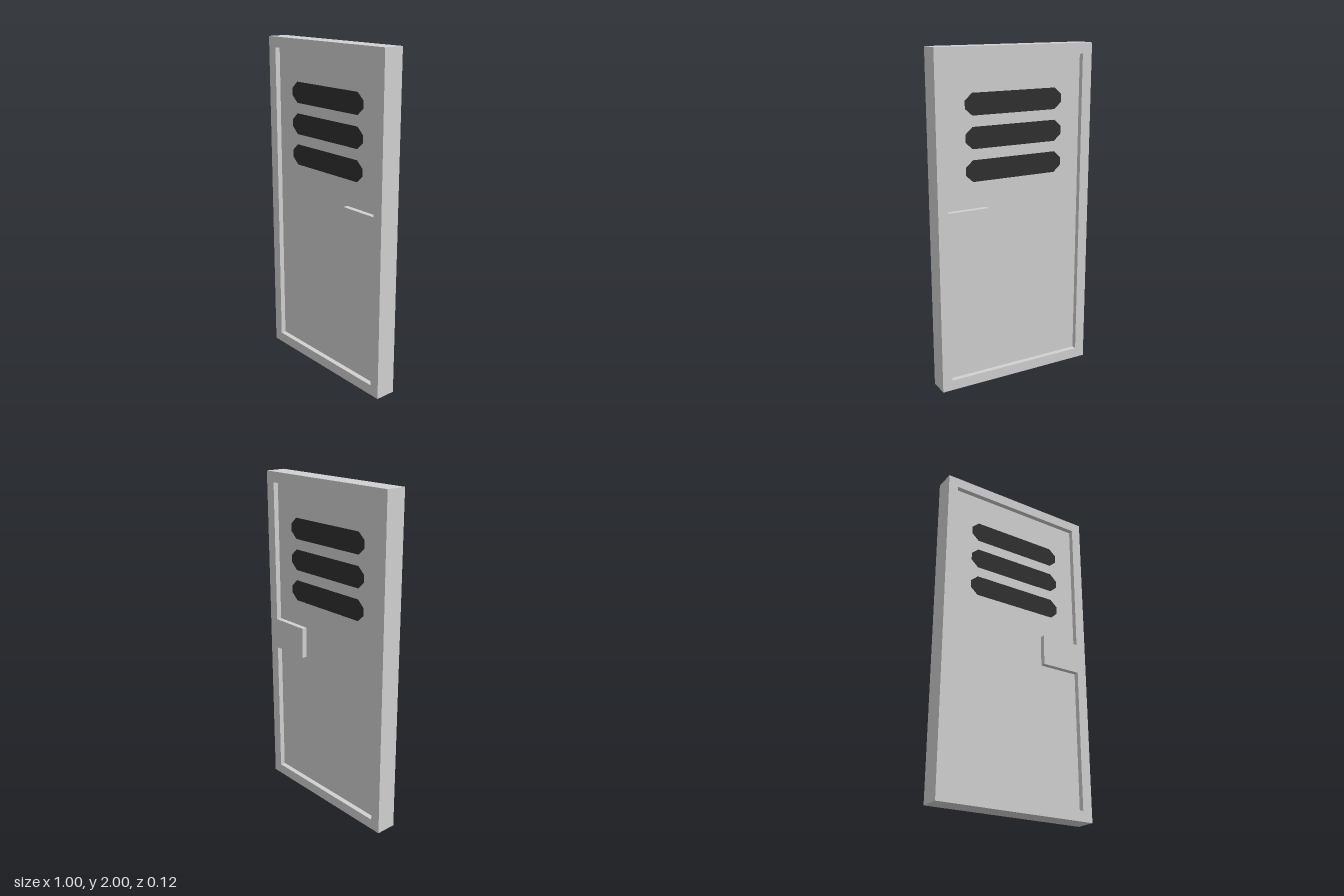
import * as THREE from 'three';

const W = 1, H = 2, DEPTH = 0.125, RIM = 0.0625, PANEL_DEPTH = 0.0625;

const polygon = (Type, points) => new Type(points.map(([x, y]) => new THREE.Vector2(x, y)));

export function createModel() {
  const doorGrey = new THREE.MeshStandardMaterial({ color: 0xd1d1d1 });
  doorGrey.name = 'doorGrey';
  const slotDark = new THREE.MeshStandardMaterial({ color: 0x303030 });
  slotDark.name = 'slotDark';

  const door = new THREE.Group();
  door.name = 'door';
  const add = (name, geometry, material, parent = door) => {
    const mesh = new THREE.Mesh(geometry, material);
    mesh.name = name;
    parent.add(mesh);
    return mesh;
  };

  // Rim with the latch block growing inward from its left side
  const x = W / 2 - RIM, top = H - RIM, latchX = 0.1875, latchLow = 0.906, latchHigh = 1.094;
  const outline = polygon(THREE.Shape, [[-W / 2, 0], [W / 2, 0], [W / 2, H], [-W / 2, H]]);
  outline.holes.push(polygon(THREE.Path, [
    [-x, RIM], [-x, top], [x, top], [x, latchHigh],
    [latchX, latchHigh], [latchX, latchLow], [x, latchLow], [x, RIM],
  ]));
  const rim = new THREE.ExtrudeGeometry(outline, { depth: DEPTH, bevelEnabled: false });
  rim.translate(0, 0, -DEPTH / 2);
  add('frameWithLatch', rim, doorGrey);

  // Panel recessed on both faces
  const panel = add('panel', new THREE.BoxGeometry(2 * x, H - 2 * RIM, PANEL_DEPTH), doorGrey);
  panel.position.y = H / 2;

  // Three vent slots with clipped ends, painted on both faces
  const a = 0.312, b = 0.0625, cx = 0.045, cy = 0.04;
  const slot = new THREE.ShapeGeometry(polygon(THREE.Shape, [
    [-a + cx, -b], [a - cx, -b], [a, -b + cy], [a, b - cy],
    [a - cx, b], [-a + cx, b], [-a, b - cy], [-a, -b + cy],
  ]));
  for (const side of [1, -1]) {
    const vents = new THREE.Group();
    vents.name = side > 0 ? 'frontVents' : 'backVents';
    vents.rotation.y = side > 0 ? 0 : Math.PI;
    door.add(vents);
    for (let i = 0; i < 3; i++) {
      const vent = add('ventSlot' + (i + 1), slot, slotDark, vents);
      vent.position.set(0, 1.6875 - i * 0.1875, PANEL_DEPTH / 2 + 0.002);
    }
  }
  return door;
}
